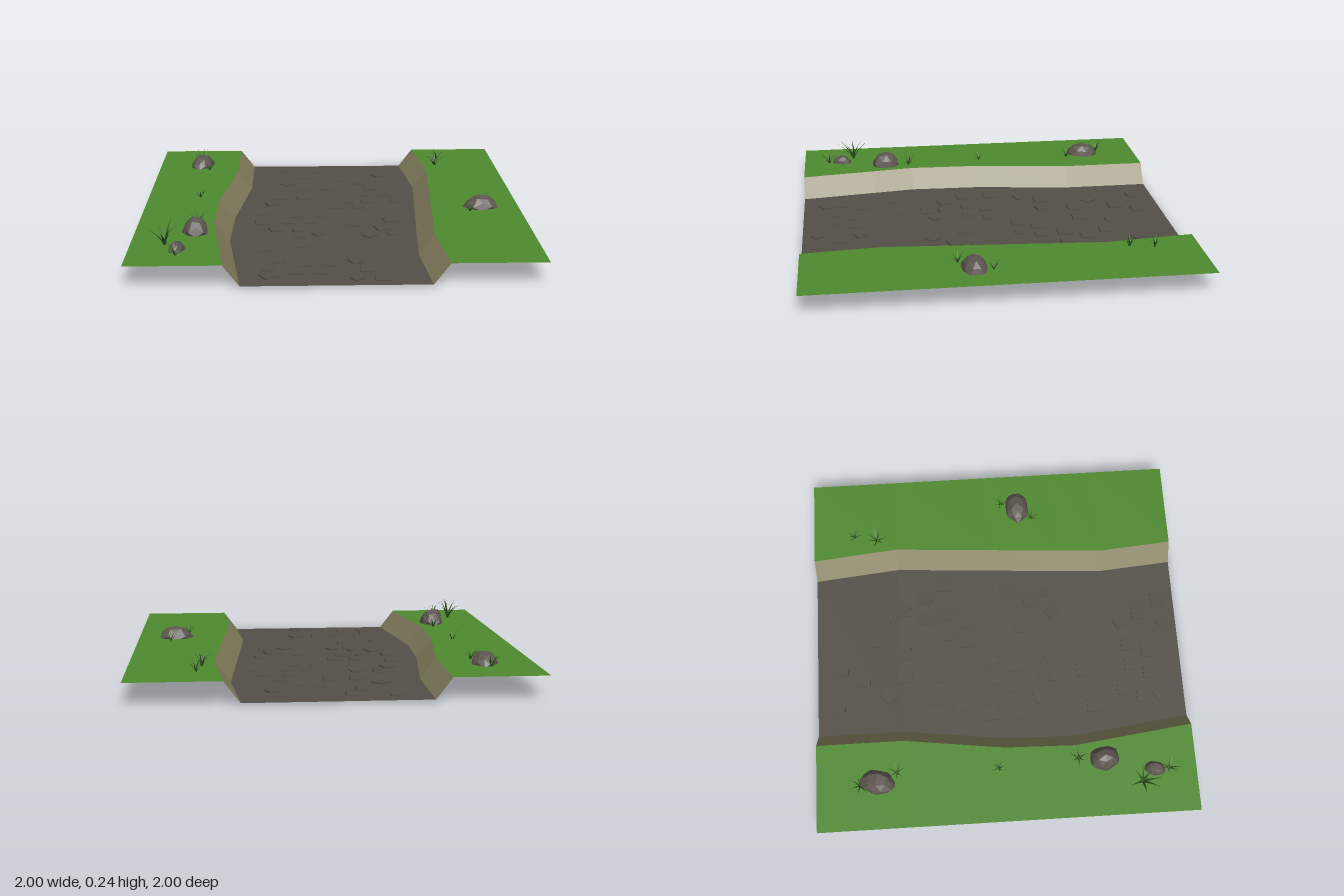
import * as THREE from 'three';

const BED_Y = 0.01, BANK_Y = 0.115;
const Z = [-1, -0.54, 0, 0.37, 0.6, 1];
const LEFT_FOOT = [-0.455, -0.455, -0.525, -0.535, -0.506, -0.455]; // bed edge on -x
const RIGHT_FOOT = [0.455, 0.5, 0.463, 0.438, 0.423, 0.455]; // bed edge on +x

const mat = (color, side = THREE.FrontSide) =>
  new THREE.MeshStandardMaterial({ color, side, flatShading: true });
const grassMat = mat(0x4f8a2f, THREE.DoubleSide);
const slopeMat = mat(0x86805f, THREE.DoubleSide);
const bedMat = mat(0x545048, THREE.DoubleSide);
const pebbleMat = mat(0x545048);
const rockMat = mat(0x5c544e);
const bladeMat = mat(0x2f5722, THREE.DoubleSide);

let seed = 7;
const rand = () => (seed = (seed * 16807) % 2147483647) / 2147483647;

function add(parent, name, geometry, material) {
  const mesh = new THREE.Mesh(geometry, material);
  mesh.name = name;
  parent.add(mesh);
  return mesh;
}

// Triangle strip between two edges given as lists of points
function strip(a, b) {
  const pos = [], idx = [];
  a.forEach((p, i) => {
    pos.push(...p, ...b[i]);
    if (i) {
      const k = 2 * i;
      idx.push(k - 2, k, k - 1, k - 1, k, k + 1);
    }
  });
  const g = new THREE.BufferGeometry();
  g.setAttribute('position', new THREE.Float32BufferAttribute(pos, 3));
  g.setIndex(idx);
  g.computeVertexNormals();
  return g;
}
const edge = (xs, y, shift = 0) => xs.map((x, i) => [x + shift, y, Z[i]]);
const straight = (x) => edge(Z.map(() => x), BANK_Y);

// Faceted boulder: icosphere with a flat base and uneven surface
function rock(parent, [x, z, w, h, d, turn]) {
  const g = new THREE.IcosahedronGeometry(1, 1);
  const p = g.attributes.position;
  for (let i = 0; i < p.count; i++) {
    const vx = p.getX(i), vy = p.getY(i), vz = p.getZ(i);
    const bump = 0.94 + 0.1 * Math.sin(vx * 5 + vy * 3 + turn * 4) * Math.cos(vz * 4 + turn);
    p.setXYZ(i, vx * bump, Math.max(0, vy) * (2 - bump) * 0.95, vz * bump);
  }
  g.computeVertexNormals();
  const m = add(parent, 'rock', g, rockMat);
  m.scale.set(w / 2, h, d / 2);
  m.position.set(x, BANK_Y - 0.008, z);
  m.rotation.y = turn;
}

// Tapered blade that curves outwards along +x
function blade(reach, height, width) {
  const a = [], b = [];
  for (const t of [0, 0.35, 0.7, 1]) {
    const x = reach * t ** 1.5, y = height * (t - 0.12 * t * t) / 0.88;
    const w = width * (t === 0 ? 0.35 : 0.62 * (1 - t) + 0.02);
    a.push([x, y, -w]);
    b.push([x, y, w]);
  }
  return strip(a, b);
}

function tuft(parent, [x, z, reach, height]) {
  const g = new THREE.Group();
  g.name = 'grassTuft';
  const n = 7;
  for (let i = 0; i < n; i++) {
    const k = 0.55 + 0.45 * rand();
    const m = add(g, 'grassBlade', blade(reach * k * 1.05, height * (1.25 - 0.5 * k) * (0.8 + 0.25 * rand()), reach * 0.15), bladeMat);
    m.rotation.y = (i + 0.6 * rand()) * Math.PI * 2 / n;
  }
  g.position.set(x, BANK_Y - 0.008, z);
  parent.add(g);
}

// Pebbles lying square to the bed: x, z pairs by size
const SQUARE = {
  0.08: [[-.145, -.755], [.185, -.635], [-.14, -.52], [-.005, -.52], [.25, -.52], [.19, -.405], [.325, -.4],
    [-.28, -.35], [.39, -.285], [-.38, -.07], [.115, .13], [-.365, .505], [.16, .8], [.225, .915]],
  0.07: [[-.29, -.89], [-.08, -.87], [.09, -.27], [.21, -.275], [.04, -.17], [.16, -.17], [-.185, -.02],
    [-.065, -.025], [-.235, .085], [-.115, .085], [-.18, .315], [-.165, .46], [-.285, .675], [-.145, .725],
    [-.03, .72], [-.33, .775], [-.195, .825], [-.075, .825]],
  0.05: [[.06, -.68]],
};
// Turned pebbles: x, z, size, turn
const TURNED = [
  [.305, -.775, .05, .4], [-.245, -.615, .07, .72], [-.155, -.335, .065, .2], [-.33, -.235, .065, .35],
  [-.375, .095, .07, .15], [.325, .07, .08, .12], [-.3, .21, .065, .35], [-.19, .23, .04, .3],
  [.27, .195, .08, .3], [-.08, .28, .05, .55], [.195, .31, .065, .7], [.315, .285, .05, .1],
  [.105, .69, .065, .4], [-.325, .875, .07, .5], [.1, .92, .05, .6],
];

export function createModel() {
  const model = new THREE.Group();
  model.name = 'riverbed';

  // Ground surfaces
  add(model, 'bed', strip(edge(LEFT_FOOT, BED_Y), edge(RIGHT_FOOT, BED_Y)), bedMat);
  add(model, 'rightSlope', strip(edge(LEFT_FOOT, BANK_Y, -0.08), edge(LEFT_FOOT, BED_Y)), slopeMat);
  add(model, 'leftSlope', strip(edge(RIGHT_FOOT, BED_Y), edge(RIGHT_FOOT, BANK_Y, 0.08)), slopeMat);
  add(model, 'rightBank', strip(straight(-1), edge(LEFT_FOOT, BANK_Y, -0.08)), grassMat);
  add(model, 'leftBank', strip(edge(RIGHT_FOOT, BANK_Y, 0.08), straight(1)), grassMat);

  // Flat pebbles sunk into the bed
  const pebbles = new THREE.Group();
  pebbles.name = 'pebbles';
  model.add(pebbles);
  const pebble = (x, z, size, turn) => {
    const m = add(pebbles, 'pebble', new THREE.BoxGeometry(size, 0.017, size), pebbleMat);
    m.position.set(x, 0.0085, z);
    m.rotation.y = turn;
  };
  for (const size in SQUARE) SQUARE[size].forEach(([x, z]) => pebble(x, z, +size, 0));
  TURNED.forEach((p) => pebble(...p));

  // Boulders on the banks: x, z, width, height, depth, turn
  [[-.75, -.68, .145, .07, .2, -.2], [-.695, .52, .14, .085, .17, .1],
    [-.765, .78, .085, .05, .12, -.2], [.8, .155, .2, .07, .14, .05]].forEach((r) => rock(model, r));

  // Grass tufts: x, z, reach, height
  [[-.765, -.77, .065, .085], [-.705, -.575, .05, .07], [-.715, -.04, .045, .065], [-.685, .385, .06, .08],
    [-.83, .71, .095, .13], [-.765, .855, .06, .075], [.665, -.77, .05, .08], [.64, -.645, .065, .09],
    [.825, .065, .045, .065], [.73, .23, .05, .07]].forEach((t) => tuft(model, t));

  return model;
}
